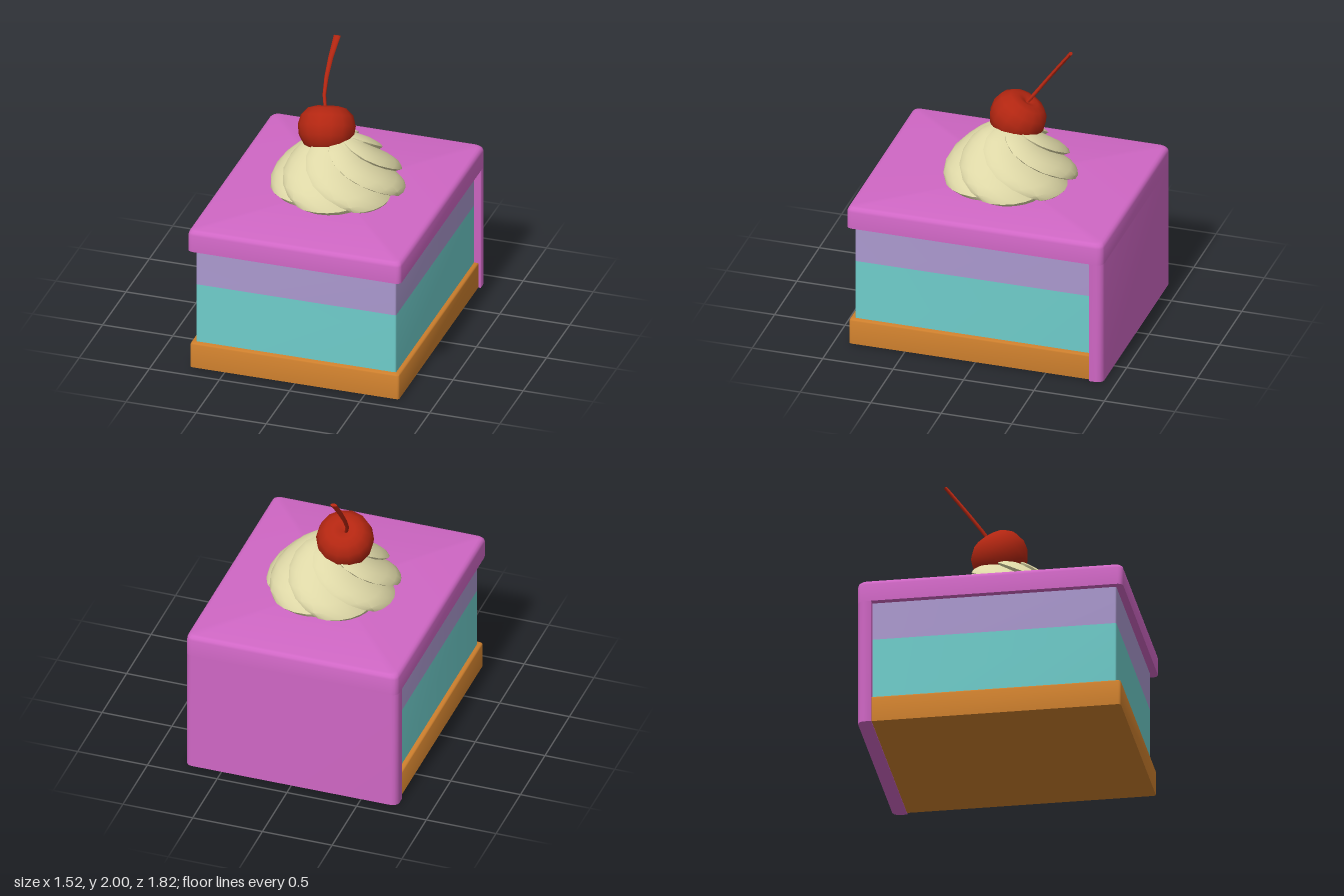
import * as THREE from 'three';
import { toCreasedNormals } from 'three/addons/utils/BufferGeometryUtils.js';

const mat = (name, color, side = THREE.FrontSide) =>
  Object.assign(new THREE.MeshStandardMaterial({ color, side }), { name });

// Closed skin over horizontal rings listed from bottom to top, capped at both ends.
function loft(rings, crease) {
  const n = rings[0].length;
  const pos = [], idx = [];
  rings.forEach(ring => ring.forEach(p => pos.push(...p)));
  for (let j = 0; j < rings.length - 1; j++) {
    for (let i = 0; i < n; i++) {
      const a = j * n + i, b = j * n + (i + 1) % n;
      idx.push(b, a, a + n, b, a + n, b + n);
    }
  }
  const cap = (j, up) => {
    const c = pos.length / 3;
    pos.push(...[0, 1, 2].map(k => rings[j].reduce((s, p) => s + p[k], 0) / n));
    for (let i = 0; i < n; i++) {
      const a = j * n + i, b = j * n + (i + 1) % n;
      idx.push(c, up ? b : a, up ? a : b);
    }
  };
  cap(0, false);
  cap(rings.length - 1, true);
  const g = new THREE.BufferGeometry();
  g.setAttribute('position', new THREE.Float32BufferAttribute(pos, 3));
  g.setIndex(idx);
  return toCreasedNormals(g, crease);
}

// Rounded rectangle ring; front and back corners have their own radius.
function rectRing(y, hx, z0, z1, rFront, rBack, inset = 0) {
  const ring = [];
  for (let k = 0; k < 4; k++) {
    const sx = k === 0 || k === 3 ? 1 : -1, front = k < 2;
    const r = front ? rFront : rBack;
    for (let s = 0; s <= 3; s++) {
      const a = (k + s / 3) * Math.PI / 2;
      ring.push([
        sx * (hx - inset - r) + r * Math.cos(a), y,
        (front ? z1 - inset - r : z0 + inset + r) + r * Math.sin(a),
      ]);
    }
  }
  return ring;
}

export function createModel() {
  const group = new THREE.Group();
  const pink = mat('pink icing', 0xd067c5);
  const lavender = mat('lavender cream', 0xab99cf);
  const teal = mat('teal sponge', 0x6fcdcb);
  const crust = mat('orange crust', 0xcd7f2d);
  const cream = mat('whipped cream', 0xddd7a6);
  const red = mat('cherry red', 0xb32611, THREE.DoubleSide);

  const add = (name, geometry, material) => {
    const mesh = new THREE.Mesh(geometry, material);
    mesh.name = name;
    group.add(mesh);
    return mesh;
  };

  // Crust with a softened upper edge
  add('crustBase', loft([[0.005, 0], [0.178, 0], [0.186, 0.004], [0.19, 0.012]]
    .map(([y, i]) => rectRing(y, 0.745, -0.82, 0.895, 0.018, 0.002, i)), 0.9), crust);

  // Two cake layers
  const layer = (name, y0, y1, material) => add(name, loft(
    [y0, y1].map(y => rectRing(y, 0.713, -0.82, 0.86, 0.012, 0.002)), 0.7), material);
  layer('lowerLayer', 0.185, 0.627, teal);
  layer('upperLayer', 0.627, 0.9, lavender);

  // Icing slab on top and icing wall down the back
  add('icingTop', loft([[0.897, 0], [1.02, 0], [1.037, 0.005], [1.05, 0.017], [1.055, 0.035]]
    .map(([y, i]) => rectRing(y, 0.76, -0.91, 0.91, 0.035, 0.045, i)), 0.9), pink);
  add('icingBack', loft([0, 0.897]
    .map(y => rectRing(y, 0.76, -0.91, -0.813, 0.002, 0.045)), 0.9), pink);

  // Twisted cream: overlapping ribbons that wind as they rise
  const lobes = 7;
  const ribbon = [[0, 0.87], [0.2, 0.93], [0.4, 0.975], [0.6, 1], [0.8, 1.005], [0.95, 0.98]];
  const profile = [[1.045, 0.41], [1.085, 0.46], [1.13, 0.455], [1.18, 0.43], [1.24, 0.385],
    [1.3, 0.325], [1.36, 0.26], [1.41, 0.19], [1.445, 0.11], [1.455, 0.03]];
  const swirl = profile.map(([y, r]) => {
    const ring = [];
    const twist = (y - 1.05) * 4.6;
    for (let k = 0; k < lobes; k++) {
      for (const [u, f] of ribbon) {
        const a = twist + (k + u) / lobes * Math.PI * 2;
        ring.push([0.01 + r * f * Math.cos(a), y, -0.015 + r * f * Math.sin(a)]);
      }
    }
    return ring;
  });
  add('creamSwirl', loft(swirl, 0.7), cream);

  // Cherry with a dimple, leaning back along its stem
  const cherryProfile = [[0, -0.165], [0.085, -0.15], [0.15, -0.105], [0.187, -0.04], [0.197, 0.03],
    [0.178, 0.1], [0.13, 0.148], [0.075, 0.163], [0.03, 0.152], [0, 0.135]]
    .map(([x, y]) => new THREE.Vector2(x, y));
  const cherry = add('cherry', new THREE.LatheGeometry(cherryProfile, 14), red);
  cherry.position.set(-0.08, 1.465, -0.035);
  cherry.rotation.set(-0.5, 0, 0.12);

  // Flattened stem, widening to the tip
  const stemPath = [[1.565, -0.105, 0.012], [1.66, -0.138, 0.013], [1.76, -0.147, 0.015],
    [1.87, -0.143, 0.018], [1.995, -0.127, 0.025]];
  const stem = stemPath.map(([y, x, r]) => Array.from({ length: 8 }, (_, i) => {
    const a = i / 8 * Math.PI * 2;
    const side = 0.012 * Math.sin(a);
    return [x + r * Math.cos(a), y + side * 0.4, -0.09 - (y - 1.565) * 0.73 + side];
  }));
  add('cherryStem', loft(stem, 0.9), red);

  return group;
}
